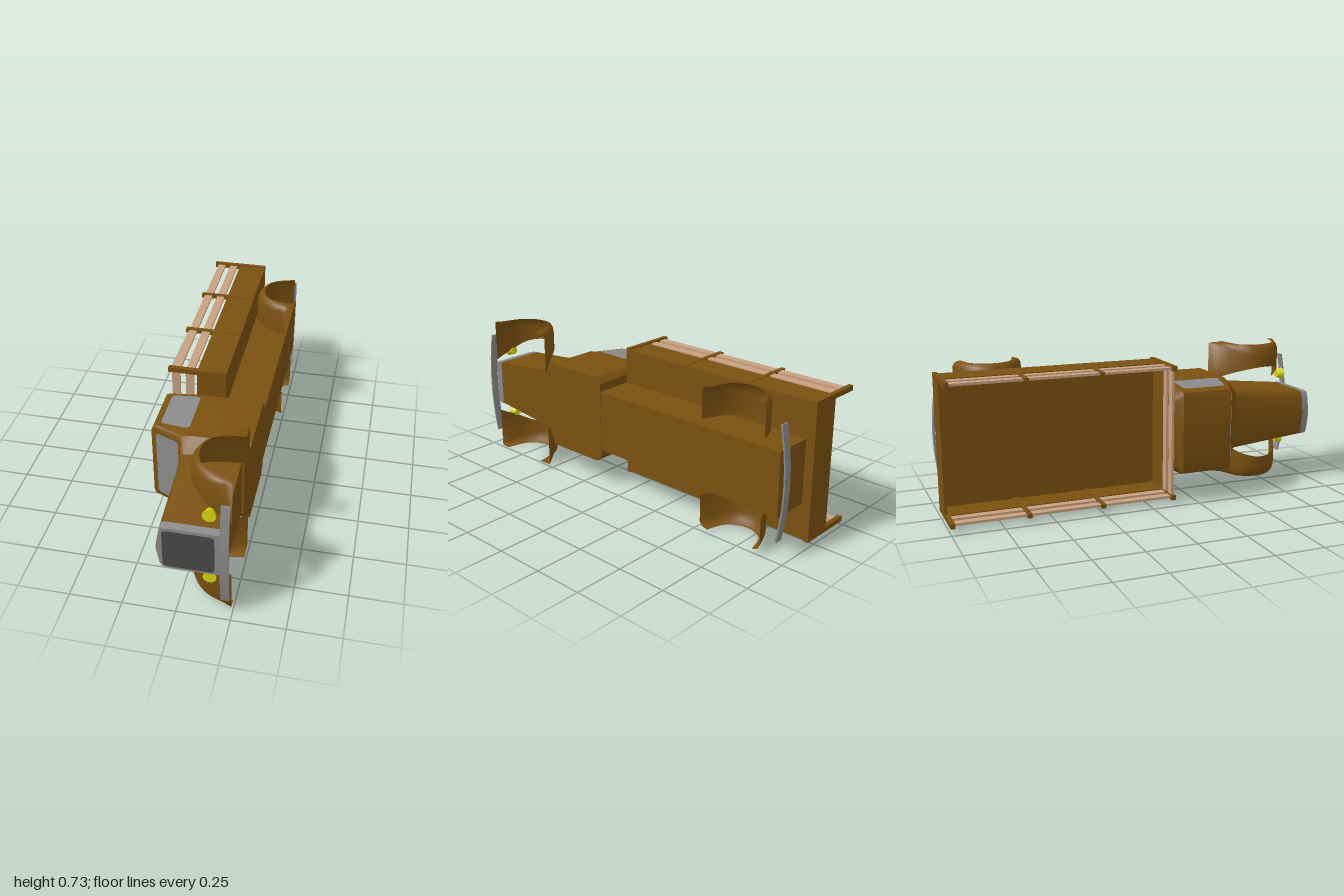
import * as THREE from 'three';
import { toCreasedNormals } from 'three/addons/utils/BufferGeometryUtils.js';

const mat = (name, color) => {
  const m = new THREE.MeshStandardMaterial({ color, side: THREE.DoubleSide });
  m.name = name;
  return m;
};

// Skin over a row of cross-sections, optionally closed around and capped
function loft(sections, closed, crease) {
  const n = sections[0].length, pos = [], idx = [];
  sections.forEach(s => s.forEach(p => pos.push(...p)));
  for (let i = 0; i < sections.length - 1; i++) {
    for (let j = 0; j < (closed ? n : n - 1); j++) {
      const a = i * n + j, b = i * n + (j + 1) % n;
      idx.push(a, a + n, b, b, a + n, b + n);
    }
  }
  if (closed) {
    const last = (sections.length - 1) * n;
    for (let j = 1; j < n - 1; j++) {
      idx.push(0, j, j + 1, last, last + j + 1, last + j);
    }
  }
  const g = new THREE.BufferGeometry();
  g.setAttribute('position', new THREE.Float32BufferAttribute(pos, 3));
  g.setIndex(idx);
  return toCreasedNormals(g, crease);
}

// Body cross-section: rounded shoulders, straight flanks, flat underside
function bodySection([z, wTop, w, top, crown, shoulder, mid, bottom]) {
  const half = [[wTop - 0.03, top - crown], [wTop - 0.008, top - crown - 0.008],
    [wTop, shoulder], [w, mid], [w, bottom]];
  return [[0, top, z], ...half.map(([x, y]) => [x, y, z]),
    ...half.slice().reverse().map(([x, y]) => [-x, y, z])];
}

// Flat four-cornered panel with rounded corners
function panel(corners, r) {
  const c = corners.map(p => new THREE.Vector3(...p)), pts = [];
  c.forEach((p, i) => {
    const toward = q => p.clone().add(q.clone().sub(p).setLength(r));
    const curve = new THREE.QuadraticBezierCurve3(toward(c[(i + 3) % 4]), p, toward(c[(i + 1) % 4]));
    pts.push(...curve.getPoints(4));
  });
  const g = new THREE.BufferGeometry().setFromPoints(pts), idx = [];
  for (let i = 1; i < pts.length - 1; i++) idx.push(0, i, i + 1);
  g.setIndex(idx);
  g.computeVertexNormals();
  return g;
}

// Wheel arch shell between an outer curve and a wheel opening, both as [z, y]
function fender(outer, opening, side, { innerTop, innerEnd, shoulderTop, shoulderEnd, lip }) {
  const curve = pts => new THREE.CatmullRomCurve3(pts.map(([z, y]) => new THREE.Vector3(0, y, z)));
  const a = curve(outer), b = curve(opening), steps = 20, sections = [];
  for (let i = 0; i <= steps; i++) {
    const t = i / steps, end = Math.pow(Math.abs(2 * t - 1), 2);
    const p = a.getPoint(t), q = b.getPoint(t);
    const inner = THREE.MathUtils.lerp(innerTop, innerEnd, end);
    const shoulder = THREE.MathUtils.lerp(shoulderTop, shoulderEnd, end);
    sections.push([[inner, 0], [shoulder, 0], [shoulder + (lip - shoulder) * 0.65, 0.25],
      [lip - 0.003, 0.6], [lip, 1]].map(([x, k]) => {
      const v = p.clone().lerp(q, k);
      return [side * x, v.y, v.z];
    }));
  }
  return loft(sections, false, 1.2);
}

export function createModel() {
  const brown = mat('brown paint', 0x7a5010);
  const gray = mat('gray metal and glass', 0x8a8a8a);
  const dark = mat('dark grille', 0x484848);
  const yellow = mat('yellow lamp', 0xd6d610);
  const tan = mat('tan wood', 0xc8a080);

  // Built upright, then laid on its side
  const truck = new THREE.Group();
  truck.name = 'truck';
  const add = (name, geo, m, x = 0, y = 0, z = 0) => {
    const mesh = new THREE.Mesh(geo, m);
    mesh.name = name;
    mesh.position.set(x, y, z);
    truck.add(mesh);
    return mesh;
  };
  // Box given by its limits on each axis
  const box = (name, m, [x0, x1], [y0, y1], [z0, z1]) =>
    add(name, new THREE.BoxGeometry(x1 - x0, y1 - y0, z1 - z0), m,
      (x0 + x1) / 2, (y0 + y1) / 2, (z0 + z1) / 2);

  // Cab and hood
  add('cab', loft([
    [0.127, 0.185, 0.197, 0.215, 0, 0.19, 0.065, -0.24],
    [0.16, 0.212, 0.226, 0.245, 0, 0.22, 0.065, -0.24],
    [0.42, 0.212, 0.226, 0.245, 0, 0.22, 0.065, -0.24],
    [0.48, 0.215, 0.226, 0.10, 0, 0.08, 0.04, -0.24],
    [0.535, 0.155, 0.162, 0.085, 0.005, 0.06, 0.03, -0.22],
  ].map(bodySection), true, 0.7), brown);
  add('hood', loft([
    [0.53, 0.155, 0.162, 0.085, 0.005, 0.06, 0.03, -0.207],
    [0.94, 0.115, 0.12, 0.085, 0.012, 0.06, 0.03, -0.207],
  ].map(bodySection), true, 0.7), brown);

  // Grille
  add('grilleFrame', loft([
    [0.94, 0.116, 0.121, 0.086, 0.012, 0.06, 0.03, -0.21],
    [0.977, 0.113, 0.117, 0.084, 0.014, 0.058, 0.03, -0.21],
  ].map(bodySection), true, 0.5), gray);
  add('grille', panel([[-0.104, -0.175, 0.981], [0.104, -0.175, 0.981],
    [0.104, 0.054, 0.981], [-0.104, 0.054, 0.981]], 0.022), dark);

  // Windows
  const slopeZ = y => 0.42 + 0.06 * (0.245 - y) / 0.145 + 0.005;
  add('windshield', panel([[-0.18, 0.102, slopeZ(0.102)], [0.18, 0.102, slopeZ(0.102)],
    [0.18, 0.22, slopeZ(0.22)], [-0.18, 0.22, slopeZ(0.22)]], 0.02), gray);
  for (const s of [-1, 1]) {
    const low = s * 0.23, high = s * 0.218;
    add('sideWindow', panel([[low, 0.06, 0.18], [low, 0.06, 0.435],
      [high, 0.203, 0.405], [high, 0.203, 0.18]], 0.025), gray);
  }

  // Fenders and headlights
  const frontOuter = [[0.53, -0.24], [0.60, -0.14], [0.66, -0.06], [0.73, -0.027],
    [0.80, -0.037], [0.865, -0.085], [0.90, -0.14], [0.93, -0.24]];
  const frontOpening = [[0.61, -0.24], [0.625, -0.16], [0.655, -0.09], [0.73, -0.063],
    [0.80, -0.076], [0.85, -0.115], [0.87, -0.16], [0.885, -0.24]];
  const rearOuter = [[-0.87, -0.24], [-0.83, -0.14], [-0.78, -0.085], [-0.70, -0.06],
    [-0.62, -0.085], [-0.57, -0.14], [-0.525, -0.24]];
  const rearOpening = [[-0.83, -0.24], [-0.80, -0.15], [-0.76, -0.115], [-0.70, -0.10],
    [-0.64, -0.115], [-0.60, -0.15], [-0.57, -0.24]];
  for (const s of [-1, 1]) {
    add('frontFender', fender(frontOuter, frontOpening, s,
      { innerTop: 0.25, innerEnd: 0.15, shoulderTop: 0.31, shoulderEnd: 0.36, lip: 0.367 }), brown);
    add('rearFender', fender(rearOuter, rearOpening, s,
      { innerTop: 0.19, innerEnd: 0.19, shoulderTop: 0.30, shoulderEnd: 0.325, lip: 0.354 }), brown);
    add('headlight', new THREE.CylinderGeometry(0.032, 0.02, 0.035, 10).rotateX(Math.PI / 2),
      yellow, s * 0.182, -0.143, 0.92);
  }

  // Curved bumpers
  const arc = new THREE.Shape(), half = 0.278;
  const bow = (x, d) => new THREE.Vector2(x, -0.03 * (x / half) ** 2 - d);
  const xs = Array.from({ length: 13 }, (_, i) => -half + i * half / 6);
  arc.setFromPoints([...xs.map(x => bow(x, 0)), ...xs.slice().reverse().map(x => bow(x, 0.008))]);
  const bumper = new THREE.ExtrudeGeometry(arc, { depth: 0.04, bevelEnabled: false }).rotateX(Math.PI / 2);
  add('frontBumper', bumper, gray, 0, -0.2, 1.0);
  add('rearBumper', bumper, gray, 0, -0.2, -0.985).rotation.y = Math.PI;

  // Chassis and open cargo bed
  box('chassis', brown, [-0.157, 0.157], [-0.24, -0.045], [-0.955, 0.125]);
  box('bedFloor', brown, [-0.333, 0.333], [-0.05, -0.035], [-1, 0.125]);
  box('bedFront', brown, [-0.333, 0.333], [-0.035, 0.094], [0.113, 0.125]);
  box('bedTail', brown, [-0.333, 0.333], [-0.035, 0.094], [-1, -0.988]);
  for (const s of [-1, 1]) {
    const sides = (a, b) => s > 0 ? [a, b] : [-b, -a];
    box('bedSide', brown, sides(0.321, 0.333), [-0.035, 0.094], [-0.988, 0.113]);
    // Stakes
    for (const z of [0.115, -0.255, -0.625, -0.989]) {
      const corner = z > 0 || z < -0.9;
      box('stake', brown, sides(0.315, corner ? 0.34 : 0.336),
        [corner ? -0.051 : -0.04, 0.235], [z - 0.011, z + 0.011]);
    }
    // Side slats
    for (const y of [0.13, 0.198]) {
      box('sideSlat', tan, sides(0.32, 0.332), [y - 0.02, y + 0.02], [-0.985, 0.11]);
    }
  }
  // Slats behind the cab
  for (const y of [0.13, 0.198]) {
    box('frontSlat', tan, [-0.318, 0.318], [y - 0.02, y + 0.02], [0.108, 0.12]);
  }

  truck.rotation.z = Math.PI / 2;
  truck.position.y = 0.368;
  const model = new THREE.Group();
  model.name = 'stakeBedTruck';
  model.add(truck);
  return model;
}
